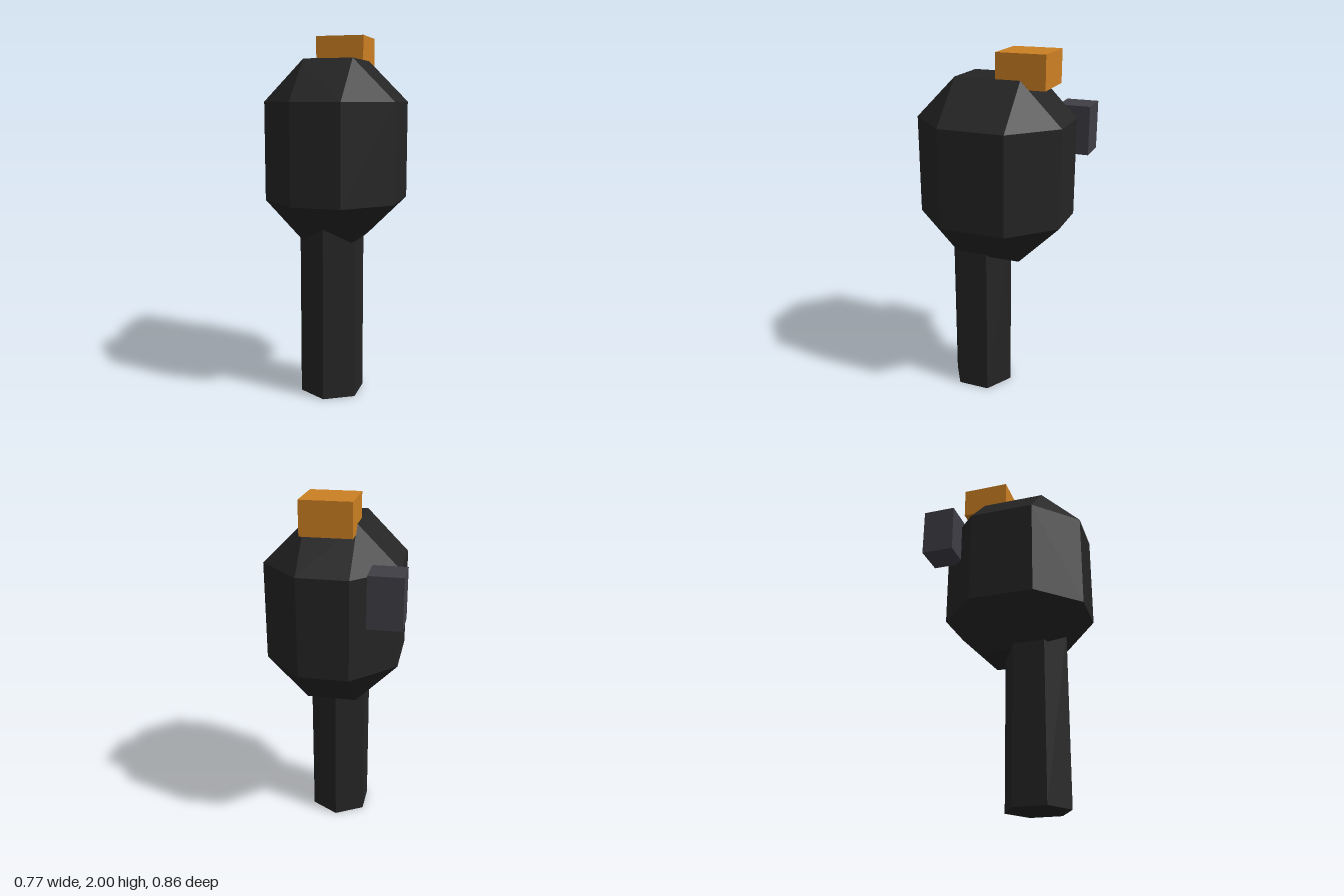
import * as THREE from 'three';
import { ConvexGeometry } from 'three/addons/geometries/ConvexGeometry.js';

const material = (name, color) => {
  const m = new THREE.MeshStandardMaterial({ color, flatShading: true });
  m.name = name;
  return m;
};

// Box with all edges and corners cut off: three points at each corner
function chamferedBox(x, y, z, cut) {
  const points = [];
  for (const sx of [-1, 1]) for (const sy of [-1, 1]) for (const sz of [-1, 1]) {
    const add = (a, b, c) => points.push(new THREE.Vector3(sx * a, sy * b, sz * c));
    add(x, y - cut, z - cut);
    add(x - cut, y, z - cut);
    add(x - cut, y - cut, z);
  }
  return new ConvexGeometry(points);
}

export function createModel() {
  const black = material('black', 0x252525);
  const grey = material('dark grey', 0x403e46);
  const orange = material('orange', 0xcd8023);

  const group = new THREE.Group();
  const add = (name, geometry, mat, x, y, z) => {
    const mesh = new THREE.Mesh(geometry, mat);
    mesh.name = name;
    mesh.position.set(x, y, z);
    group.add(mesh);
  };

  // Faceted head
  add('head', chamferedBox(0.363, 0.498, 0.409, 0.227), black, 0.022, 1.367, 0.021);

  // Six-sided handle, running up into the head
  add('handle', new THREE.CylinderGeometry(0.181, 0.181, 1, 6), black, 0.021, 0.5, 0.116);

  // Block on top and block at the back right corner
  add('topBlock', new THREE.BoxGeometry(0.272, 0.18, 0.27), orange, 0.021, 1.91, -0.16);
  add('sideBlock', new THREE.BoxGeometry(0.18, 0.272, 0.181), grey, -0.297, 1.548, -0.343);

  return group;
}
